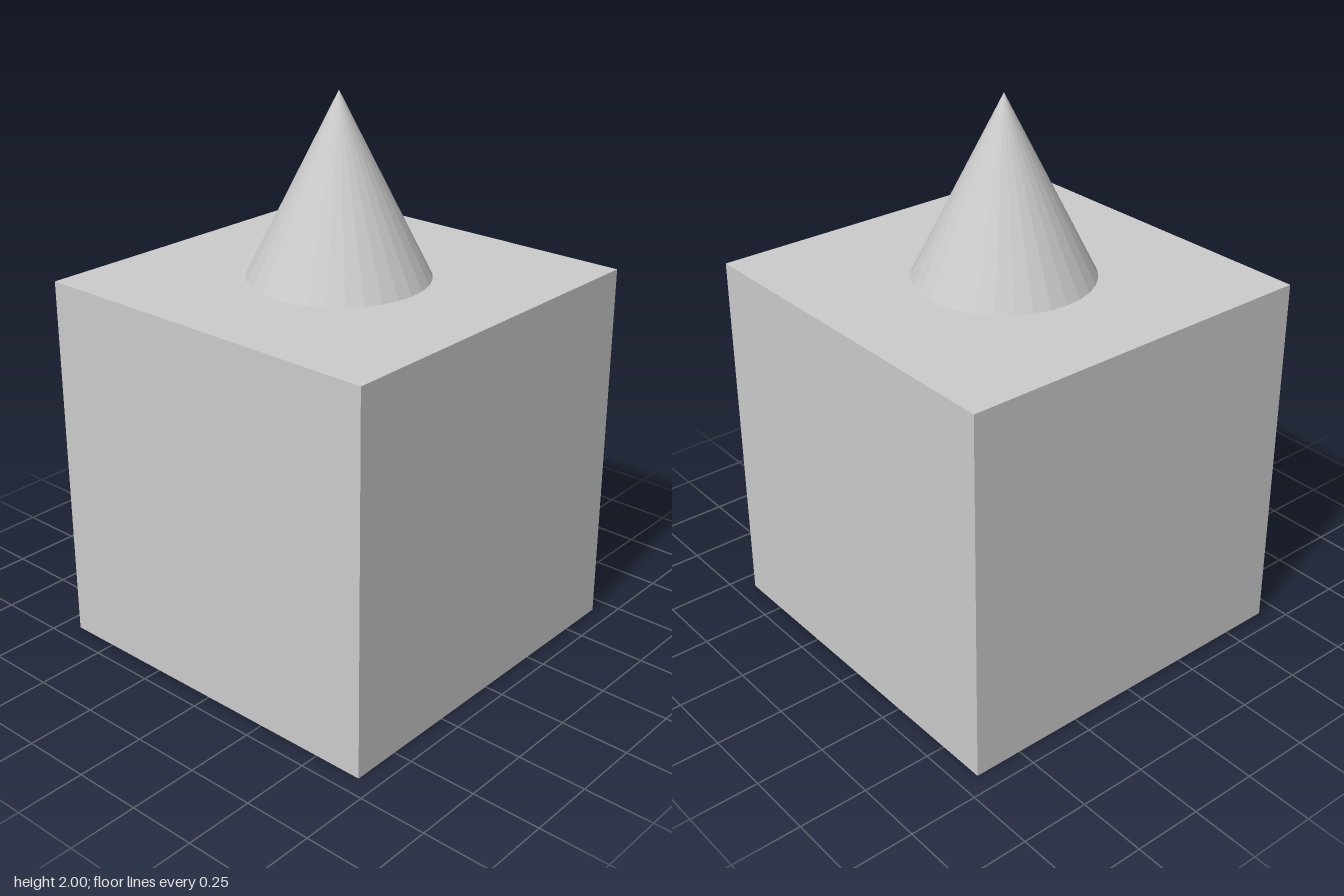
import * as THREE from 'three';

export function createModel() {
  const model = new THREE.Group();
  const material = new THREE.MeshStandardMaterial({ color: 0xcccccc, flatShading: true });

  const cubeSize = 1.36;
  const coneHeight = 0.64;
  const coneRadius = 0.32;

  // Cubic base standing on the floor
  const base = new THREE.Mesh(new THREE.BoxGeometry(cubeSize, cubeSize, cubeSize), material);
  base.name = 'base';
  base.position.y = cubeSize / 2;

  // Faceted cone centred on top of the base
  const spike = new THREE.Mesh(new THREE.ConeGeometry(coneRadius, coneHeight, 32), material);
  spike.name = 'spike';
  spike.position.y = cubeSize + coneHeight / 2;

  model.add(base, spike);
  return model;
}
